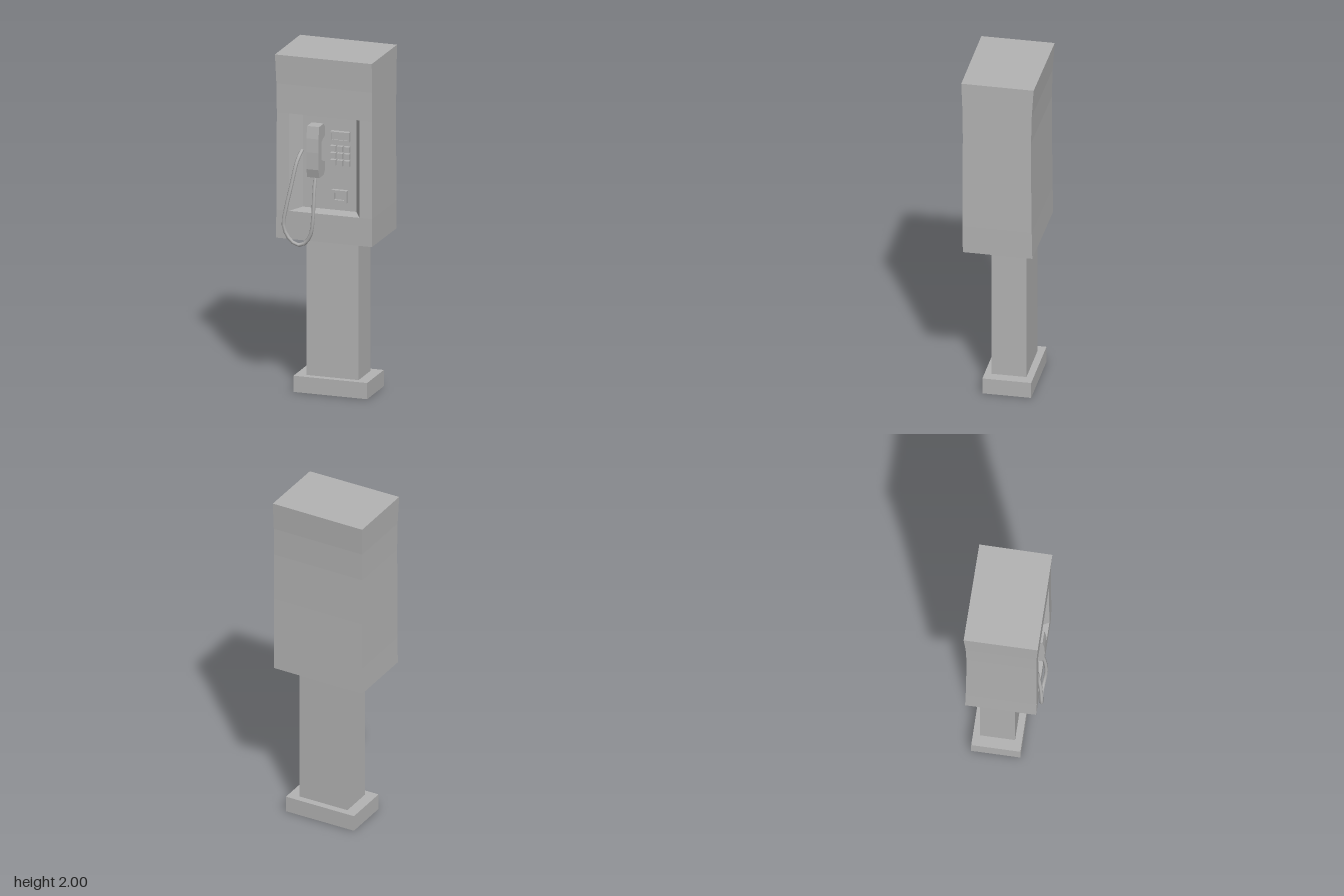
import * as THREE from 'three';

const grey = new THREE.MeshStandardMaterial({ color: 0xb3b3b3 });
grey.name = 'painted grey';

function add(parent, name, geometry) {
  const mesh = new THREE.Mesh(geometry, grey);
  mesh.name = name;
  parent.add(mesh);
  return mesh;
}

// Box given by its lowest and highest corners
function box(parent, name, x0, x1, y0, y1, z0, z1) {
  const mesh = add(parent, name, new THREE.BoxGeometry(x1 - x0, y1 - y0, z1 - z0));
  mesh.position.set((x0 + x1) / 2, (y0 + y1) / 2, (z0 + z1) / 2);
  return mesh;
}

// Flat-sided surface from four-cornered faces, counter-clockwise from outside
function quads(faces) {
  const pos = [];
  for (const [a, b, c, d] of faces) pos.push(...a, ...b, ...c, ...a, ...c, ...d);
  const g = new THREE.BufferGeometry();
  g.setAttribute('position', new THREE.Float32BufferAttribute(pos, 3));
  g.computeVertexNormals();
  return g;
}

// Rectangular frame with an open middle, lying in front of z
function frame(parent, name, x0, x1, y0, y1, z, depth, border) {
  const rect = (Type, i) => new Type([
    new THREE.Vector2(x0 + i, y0 + i), new THREE.Vector2(x1 - i, y0 + i),
    new THREE.Vector2(x1 - i, y1 - i), new THREE.Vector2(x0 + i, y1 - i)]);
  const shape = rect(THREE.Shape, 0);
  shape.holes.push(rect(THREE.Path, border));
  add(parent, name, new THREE.ExtrudeGeometry(shape, { depth, bevelEnabled: false })).position.z = z;
}

// Housing with slightly bowed walls and a tapered front recess
function housing(parent) {
  // each level: y, left x, right x, front z, back z
  const levels = [
    [0.925, -0.288, 0.284, 0.189, -0.215],
    [1.09, -0.286, 0.286, 0.192, -0.212],
    [1.375, -0.285, 0.286, 0.191, -0.209],
    [1.66, -0.284, 0.286, 0.189, -0.208],
    [1.83, -0.286, 0.286, 0.191, -0.212],
    [2, -0.292, 0.286, 0.198, -0.223],
  ];
  const rows = levels.map(([y, l, r, f, b]) => ({
    front: [l, -0.21, 0.21, r].map((x) => [x, y, f]),
    backLeft: [l, y, b], backRight: [r + 0.003, y, b + 0.005],
  }));
  const faces = [];
  for (let i = 0; i < rows.length - 1; i++) {
    const p = rows[i], q = rows[i + 1];
    for (let c = 0; c < 3; c++) {
      if (c === 1 && (i === 1 || i === 2)) continue; // recess opening
      faces.push([p.front[c], p.front[c + 1], q.front[c + 1], q.front[c]]);
    }
    faces.push([p.front[3], p.backRight, q.backRight, q.front[3]]);
    faces.push([p.backRight, p.backLeft, q.backLeft, q.backRight]);
    faces.push([p.backLeft, p.front[0], q.front[0], q.backLeft]);
  }
  const t = rows[5], u = rows[0];
  faces.push([t.front[0], t.front[3], t.backRight, t.backLeft]);
  faces.push([u.backLeft, u.backRight, u.front[3], u.front[0]]);
  add(parent, 'housing', quads(faces));

  // Recess walls and back plate
  const outer = [rows[1].front[1], rows[1].front[2], rows[3].front[2], rows[3].front[1]];
  const inner = [[-0.16, 1.095, 0.1], [0.16, 1.095, 0.1], [0.16, 1.655, 0.1], [-0.16, 1.655, 0.1]];
  const walls = [inner];
  for (let i = 0; i < 4; i++) {
    const j = (i + 1) % 4;
    walls.push([outer[i], outer[j], inner[j], inner[i]]);
  }
  add(parent, 'recess', quads(walls));
}

export function createModel() {
  const model = new THREE.Group();
  model.name = 'payPhone';

  // Stand
  box(model, 'base', -0.22, 0.22, 0, 0.095, -0.19, 0.09);
  box(model, 'post', -0.155, 0.155, 0.095, 0.926, -0.15, 0.05);
  housing(model);

  // Handset: side profile as z, y
  const profile = new THREE.Shape([
    [0.1, 1.575], [0.1, 1.525], [0.135, 1.515], [0.16, 1.5], [0.16, 1.4], [0.135, 1.385],
    [0.1, 1.375], [0.1, 1.325], [0.12, 1.3], [0.195, 1.3], [0.209, 1.35], [0.211, 1.45],
    [0.208, 1.53], [0.198, 1.6], [0.12, 1.6],
  ].map(([z, y]) => new THREE.Vector2(z, y)));
  const handset = new THREE.ExtrudeGeometry(profile, { depth: 0.072, bevelEnabled: false });
  handset.rotateY(-Math.PI / 2).translate(-0.028, 0, 0);
  add(model, 'handset', handset);

  // Cord looping from the handset to the recess wall
  const path = new THREE.CatmullRomCurve3([
    [-0.056, 1.31, 0.18], [-0.057, 1.22, 0.2], [-0.06, 1.06, 0.213], [-0.075, 0.97, 0.208],
    [-0.115, 0.91, 0.201], [-0.16, 0.898, 0.2], [-0.21, 0.94, 0.208], [-0.236, 1.01, 0.212],
    [-0.222, 1.11, 0.208], [-0.198, 1.23, 0.194], [-0.172, 1.38, 0.16], [-0.16, 1.43, 0.11],
  ].map((p) => new THREE.Vector3(...p)));
  add(model, 'cord', new THREE.TubeGeometry(path, 28, 0.011, 6));

  // Display
  frame(model, 'displayFrame', 0.013, 0.125, 1.505, 1.56, 0.1, 0.028, 0.008);
  box(model, 'displayScreen', 0.02, 0.118, 1.512, 1.553, 0.1, 0.12);

  // Keypad
  const keypad = new THREE.Group();
  keypad.name = 'keypad';
  model.add(keypad);
  for (let r = 0; r < 3; r++) {
    for (let c = 0; c < 3; c++) {
      const x = 0.01 + c * 0.041, y = 1.36 + r * 0.041;
      box(keypad, 'key', x, x + 0.033, y, y + 0.033, 0.1, 0.125);
    }
  }

  // Coin return
  frame(model, 'coinReturnFrame', 0.02, 0.11, 1.145, 1.217, 0.1, 0.025, 0.015);
  box(model, 'coinReturnFlap', 0.043, 0.095, 1.16, 1.202, 0.1, 0.109);

  return model;
}
